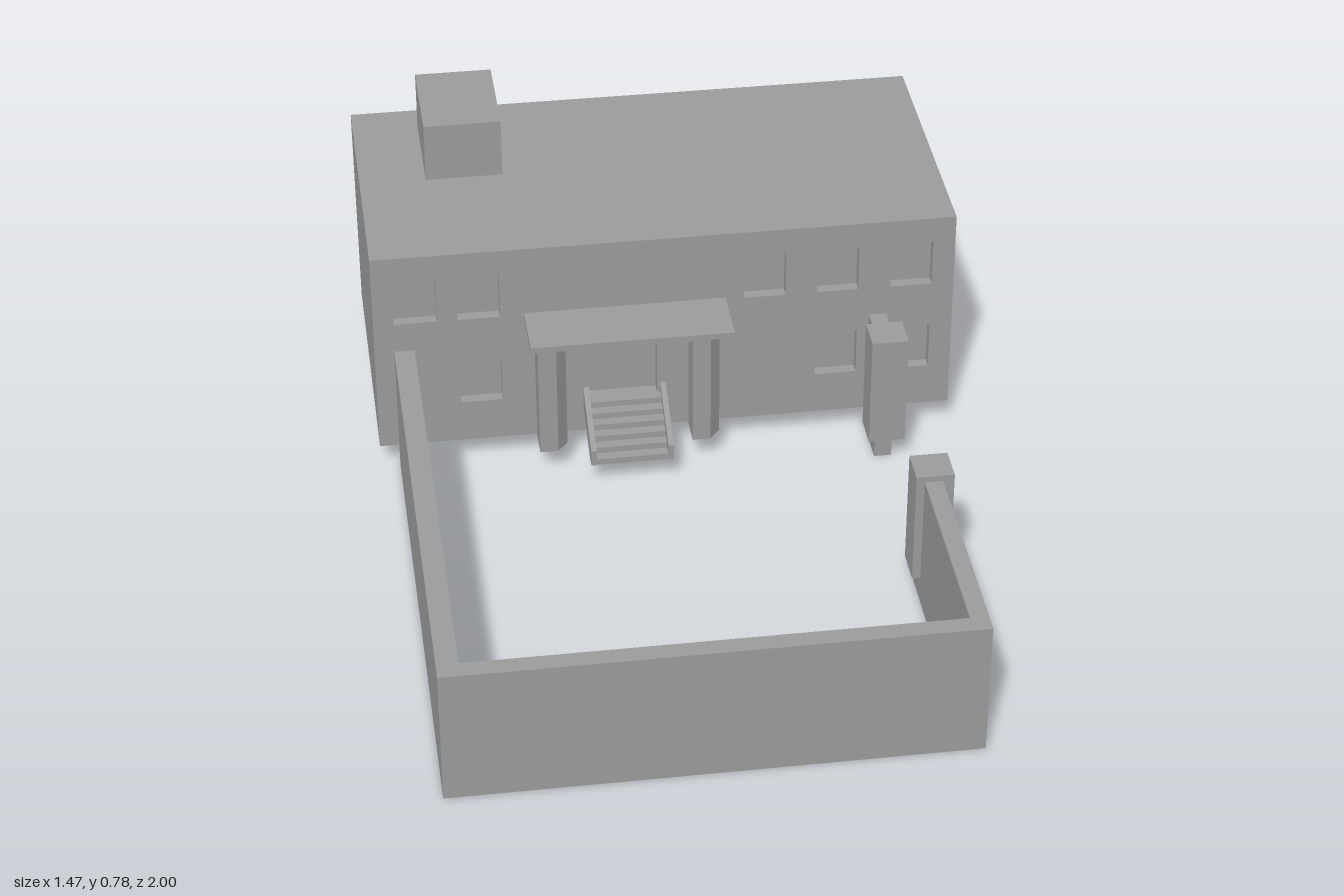
import * as THREE from 'three';

const material = new THREE.MeshStandardMaterial({ color: 0x9b9b9b, flatShading: true });

export function createModel() {
  const model = new THREE.Group();

  const add = (name, geometry) => {
    const mesh = new THREE.Mesh(geometry, material);
    mesh.name = name;
    model.add(mesh);
    return mesh;
  };

  // Box given by its two extreme corners
  const box = (name, x0, x1, y0, y1, z0, z1) =>
    add(name, new THREE.BoxGeometry(x1 - x0, y1 - y0, z1 - z0))
      .position.set((x0 + x1) / 2, (y0 + y1) / 2, (z0 + z1) / 2);

  const rect = (PathType, a0, a1, b0, b1) => new PathType([
    [a0, b0], [a1, b0], [a1, b1], [a0, b1],
  ].map(([a, b]) => new THREE.Vector2(a, b)));

  // Wall slab with openings, each [a0, a1, b0, b1]
  const facade = (name, a0, a1, openings, depth) => {
    const shape = rect(THREE.Shape, a0, a1, base, roof);
    shape.holes = openings.map((o) => rect(THREE.Path, ...o));
    return add(name, new THREE.ExtrudeGeometry(shape, { depth, bevelEnabled: false }));
  };

  // Main building: solid core behind pierced facades
  const base = 0.065, roof = 0.623, recess = 0.028;
  const left = -0.733, right = 0.732, front = -0.288;
  const upper = [0.43, 0.556], lower = [0.18, 0.306];
  box('buildingCore', left, right - recess, base, roof, -1, front - recess);

  const frontOpenings = [
    ...[-0.681, -0.523, 0.197, 0.382, 0.57].map((x) => [x, x + 0.106, ...upper]),
    ...[-0.523, 0.382, 0.57].map((x) => [x, x + 0.106, ...lower]),
    [-0.21, -0.024, 0.165, 0.37], // doorway
  ];
  facade('frontFacade', left, right, frontOpenings, recess).position.z = front - recess;

  // Side facade is drawn in (-z, y) and turned to face +x
  const sideOpenings = [0.402, 0.589, 0.777].flatMap((z) =>
    [upper, lower].map((span) => [z, z + 0.11, ...span]));
  const side = facade('sideFacade', -front + recess, 1, sideOpenings, recess);
  side.rotation.y = Math.PI / 2;
  side.position.x = right - recess;

  box('chimney', -0.565, -0.37, roof, 0.778, -0.915, -0.648);

  // Entrance canopy on columns with two cut corners
  box('canopy', -0.357, 0.15, 0.419, 0.435, front, -0.13);
  const section = new THREE.Shape([
    [0, -0.205], [0, -0.283], [0.046, -0.283], [0.073, -0.25], [0.073, -0.24], [0.046, -0.205],
  ].map(([x, z]) => new THREE.Vector2(x, -z)));
  for (const x of [-0.333, 0.056]) {
    const column = add('column',
      new THREE.ExtrudeGeometry(section, { depth: 0.419 - base, bevelEnabled: false }));
    column.rotation.x = -Math.PI / 2;
    column.position.set(x, base, 0);
  }

  // Entrance stairs between sloping side walls
  const steps = 6, run = 0.026, rise = 0.0167;
  for (let i = 0; i < steps; i++) {
    const z = -0.132 - i * run, y = base + (i + 1) * rise;
    box('step', -0.205, -0.015, y - rise, y, z - run * 1.3, z);
  }
  const stringer = new THREE.Shape([
    [0.13, base], [0.16, base], [0.29, 0.13], [0.29, 0.195], [0.13, 0.108],
  ].map(([z, y]) => new THREE.Vector2(z, y)));
  for (const x of [-0.212, -0.016]) {
    const cheek = add('stairSide',
      new THREE.ExtrudeGeometry(stringer, { depth: 0.014, bevelEnabled: false }));
    cheek.rotation.y = Math.PI / 2;
    cheek.position.x = x;
  }

  // Courtyard wall with a gateway on the right-hand side
  const wallTop = 0.35;
  box('leftWall', -0.684, -0.633, 0, wallTop, front, 1);
  box('frontWall', -0.633, 0.518, 0, wallTop, 0.955, 1);
  box('rightWall', 0.518, 0.562, 0, wallTop, 0.363, 1);
  box('rightWallStub', 0.518, 0.562, 0, wallTop, -0.322, -0.16);
  for (const z of [0.346, -0.224]) {
    box('gatePillar', 0.498, 0.59, base, 0.365, z, z + 0.09);
  }

  return model;
}
